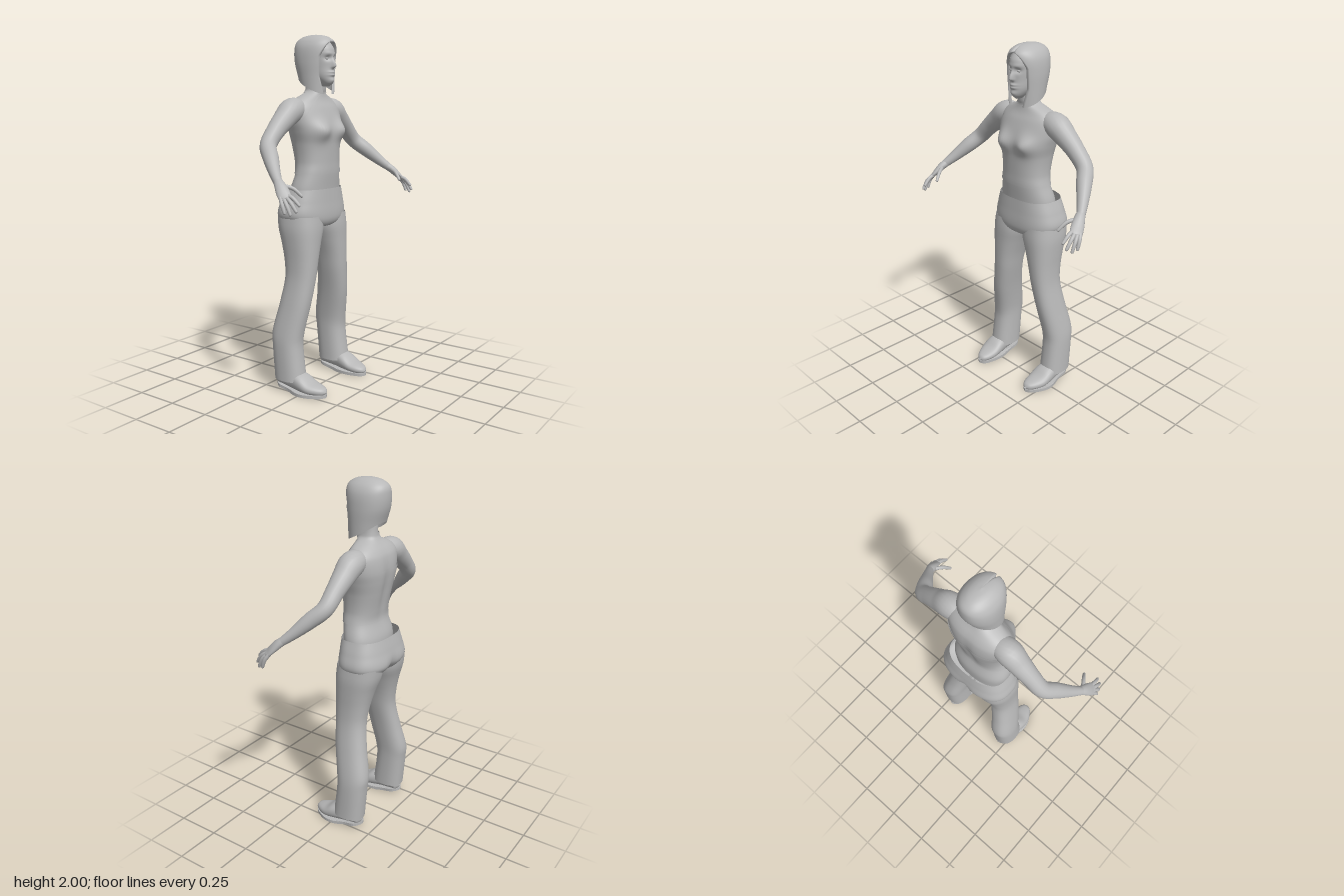
import * as THREE from 'three';
import { mergeVertices } from 'three/addons/utils/BufferGeometryUtils.js';

const V = (x, y, z) => new THREE.Vector3(x, y, z);
const clamp = THREE.MathUtils.clamp;

// Smooth surface over a grid; fn(u, v) gives a point, u may wrap around.
function surface(nu, nv, fn, wrap = true) {
  const pos = [], idx = [], cols = wrap ? nu : nu + 1;
  for (let j = 0; j <= nv; j++)
    for (let i = 0; i < cols; i++) pos.push(...fn(i / nu, j / nv).toArray());
  for (let j = 0; j < nv; j++)
    for (let i = 0; i < nu; i++) {
      const a = j * cols + i, b = j * cols + (i + 1) % cols;
      idx.push(a, a + cols, b, b, a + cols, b + cols);
    }
  const g = new THREE.BufferGeometry();
  g.setAttribute('position', new THREE.Float32BufferAttribute(pos, 3));
  g.setIndex(idx);
  g.computeVertexNormals();
  return g;
}

// Smoothly interpolated row of a table sorted by its first column.
function at(table, k) {
  const n = table.length, m = table[0].length;
  let i = 0;
  while (i < n - 2 && k > table[i + 1][0]) i++;
  const A = table[i], B = table[i + 1], h = B[0] - A[0], t = clamp((k - A[0]) / h, 0, 1);
  const slope = (q, c) => {
    const p = table[Math.max(q - 1, 0)], r = table[Math.min(q + 1, n - 1)];
    return (r[c] - p[c]) / (r[0] - p[0]);
  };
  const out = [k];
  for (let c = 1; c < m; c++)
    out.push(A[c] * (1 + 2 * t) * (1 - t) ** 2 + B[c] * t * t * (3 - 2 * t)
      + h * slope(i, c) * t * (1 - t) ** 2 - h * slope(i + 1, c) * t * t * (1 - t));
  return out;
}

// Point on a rounded section [key, min1, max1, max2, min2].
function section(r, a, p = 2, grow = 0) {
  const f = (s) => Math.sign(s) * Math.abs(s) ** (2 / p);
  return [(r[1] + r[2]) / 2 + ((r[2] - r[1]) / 2 + grow) * f(Math.cos(a)),
    (r[3] + r[4]) / 2 + ((r[3] - r[4]) / 2 + grow) * f(Math.sin(a))];
}
const sym = (rows) => rows.map(([y, w, f, b]) => [y, -w, w, f, b]);
const bump = (d, s) => Math.exp(-((d / s) ** 2));

// Tapered limb along a path of [x, y, z, radius, flatness].
function limb(points, sides = 14, steps = 24) {
  const curve = new THREE.CatmullRomCurve3(points.map((p) => V(p[0], p[1], p[2])));
  const table = points.map((p, i) => [i / (points.length - 1), p[3], p[4] ?? 1]);
  return surface(sides, steps, (u, v) => {
    const t = curve.getTangent(v), e1 = V(0.55, 0, -0.83).cross(t).normalize();
    const e2 = e1.clone().cross(t), [, r, flat] = at(table, v), a = u * Math.PI * 2;
    return curve.getPoint(v).addScaledVector(e1, r * Math.cos(a) * flat).addScaledVector(e2, r * Math.sin(a));
  });
}

function mirrored(geo) {
  const g = geo.clone().scale(-1, 1, 1), ix = g.index.array;
  for (let i = 0; i < ix.length; i += 3) [ix[i], ix[i + 1]] = [ix[i + 1], ix[i]];
  g.computeVertexNormals();
  return g;
}

// Section tables: height, half width, front z, back z
const TORSO = sym([[1.04, 0.17, 0.02, -0.18], [1.14, 0.178, 0.027, -0.18], [1.24, 0.152, 0.037, -0.155],
  [1.3, 0.142, 0.038, -0.16], [1.4, 0.15, 0.042, -0.18], [1.47, 0.168, 0.046, -0.193], [1.53, 0.183, 0.03, -0.198],
  [1.6, 0.185, 0.005, -0.188], [1.635, 0.16, -0.012, -0.17], [1.66, 0.115, -0.02, -0.15],
  [1.68, 0.066, -0.022, -0.135], [1.7, 0.048, -0.018, -0.125], [1.78, 0.045, -0.01, -0.12]]);
const HIPS = sym([[0.925, 0.03, -0.03, -0.12], [0.935, 0.1, 0.012, -0.18], [0.96, 0.19, 0.033, -0.22],
  [1.0, 0.226, 0.04, -0.245], [1.08, 0.21, 0.037, -0.232], [1.15, 0.186, 0.034, -0.217]]);
const LEG = [[0.07, 0.143, 0.29, 0, -0.186], [0.27, 0.142, 0.286, -0.024, -0.204], [0.34, 0.138, 0.279, -0.018, -0.21],
  [0.5, 0.115, 0.25, 0.01, -0.178], [0.65, 0.085, 0.225, 0.025, -0.157], [0.75, 0.064, 0.221, 0.03, -0.168],
  [0.85, 0.033, 0.225, 0.033, -0.192], [0.93, 0.004, 0.228, 0.035, -0.218], [1.0, 0, 0.222, 0.03, -0.228]];
const HEAD = sym([[1.715, 0.01, 0.02, -0.03], [1.735, 0.032, 0.041, -0.06], [1.77, 0.053, 0.045, -0.1],
  [1.82, 0.065, 0.043, -0.15], [1.87, 0.07, 0.044, -0.165], [1.92, 0.069, 0.042, -0.165], [1.965, 0.05, 0.012, -0.14]]);
const HAIR = sym([[1.67, 0.098, 0.028, -0.14], [1.77, 0.103, 0.035, -0.165], [1.85, 0.105, 0.045, -0.19],
  [1.92, 0.098, 0.05, -0.196], [1.96, 0.08, 0.042, -0.187], [1.985, 0.053, 0.01, -0.155],
  [1.996, 0.027, -0.03, -0.115], [2, 0, -0.07, -0.07]]);
// Shoe sections by distance from the toe tip
const SHOE = [[0, 0.198, 0.21, 0.032, 0.026], [0.008, 0.18, 0.228, 0.047, 0.016], [0.04, 0.161, 0.254, 0.06, 0.01],
  [0.09, 0.152, 0.276, 0.076, 0.01], [0.14, 0.153, 0.28, 0.108, 0.012], [0.2, 0.163, 0.272, 0.125, 0.018],
  [0.28, 0.166, 0.262, 0.125, 0.027], [0.318, 0.176, 0.25, 0.105, 0.032], [0.325, 0.208, 0.214, 0.07, 0.05]];

// Torso skin with bust; grow lifts clothing off the skin
function torsoPoint(a, y, grow = 0) {
  const [x, z] = section(at(TORSO, y), a, 2.3, grow);
  const bust = z > -0.06 ? 0.03 * bump(Math.abs(x) - 0.085, 0.05) * bump(y - 1.475, 0.05) : 0;
  const spine = z < -0.1 ? 0.012 * bump(x, 0.03) * bump(y - 1.42, 0.15) : 0;
  return V(x, y, z + bust + spine);
}

// Face relief: nose, eye sockets, brow, lips and chin
function headPoint(a, y) {
  const [x, z] = section(at(HEAD, y), a, 2.1);
  if (z < -0.03) return V(x, y, z);
  const ax = Math.abs(x), nose = y > 1.825 ? bump(y - 1.825, 0.038) : bump(y - 1.825, 0.011);
  const relief = 0.027 * nose * bump(x, 0.011) - 0.011 * bump(ax - 0.028, 0.016) * bump(y - 1.868, 0.014)
    + 0.004 * bump(y - 1.892, 0.012) * bump(ax - 0.025, 0.03)
    + 0.008 * bump(x, 0.024) * (bump(y - 1.793, 0.007) + bump(y - 1.778, 0.007))
    + 0.005 * bump(x, 0.02) * bump(y - 1.748, 0.012);
  return V(x, y, z + relief);
}

function hairPoint(u, v) {
  const rim = u === 0 || u === 1 ? 0.87 : 1, s = Math.sin(v * Math.PI / 2);
  let a = Math.PI / 2 + u * Math.PI * 2;
  const low = 1.725 - 0.05 * Math.sin(a), y = low + (2 - low) * s;
  const open = 0.74 * Math.sqrt(clamp((1.957 - y) / 0.075, 0, 1)) - 0.3 * clamp((1.77 - y) / 0.09, 0, 1);
  a = Math.PI / 2 + open + u * (Math.PI * 2 - 2 * open);
  const [x, z] = section(at(HAIR, y), a, 2.15);
  return V(x * rim, y, -0.07 + (z + 0.07) * rim);
}

export function createModel() {
  const model = new THREE.Group();
  model.name = 'standingWoman';
  const grey = new THREE.MeshStandardMaterial({ color: 0xb8b8b8, side: THREE.DoubleSide });
  grey.name = 'plainGrey';
  const add = (name, geo) => {
    const m = new THREE.Mesh(geo, grey);
    m.name = name;
    model.add(m);
  };
  const pair = (name, geo) => { add('left' + name, geo); add('right' + name, mirrored(geo)); };
  const TAU = Math.PI * 2;

  // Head, hair and torso
  add('head', surface(96, 84, (u, v) => headPoint(u * TAU, 1.715 + 0.25 * v)));
  add('hair', surface(64, 48, hairPoint, false));
  add('torso', surface(56, 72, (u, v) => torsoPoint(u * TAU, 1.04 + 0.74 * v)));
  pair('Eye', mergeVertices(new THREE.SphereGeometry(1, 16, 10)).scale(0.012, 0.006, 0.006).translate(0.028, 1.866, 0.027));

  // Halter top with a bare upper back, and its collar
  add('halterTop', surface(72, 40, (u, v) => {
    const a = u * TAU, f = Math.sin(a) > 0 ? clamp((0.95 - Math.abs(Math.cos(a))) / 0.65, 0, 1) : 0;
    const top = 1.53 + 0.145 * f;
    return torsoPoint(a, 1.235 + (top - 1.235) * v, 0.005);
  }));
  add('collar', surface(32, 6, (u, v) => torsoPoint(u * TAU, 1.685 + 0.03 * v, 0.005)));

  // Trousers
  add('trouserHips', surface(56, 24, (u, v) => {
    const y = 0.925 + 0.225 * v, [x, z] = section(at(HIPS, y), u * TAU, 2.6);
    return V(x, y, z + (z < -0.12 ? 0.02 * bump(x, 0.035) * bump(y - 0.97, 0.06) : 0));
  }));
  pair('TrouserLeg', surface(36, 40, (u, v) => {
    const y = 0.07 + 0.93 * v, [x, z] = section(at(LEG, y), u * TAU, 2.35);
    return V(x, y, z);
  }));

  // Shoes and soles
  pair('Shoe', surface(28, 30, (u, v) => {
    const d = 0.325 * v ** 1.3, [x, y] = section(at(SHOE, d), u * TAU, 2.3);
    return V(x, y, 0.144 - d);
  }));
  const outline = new THREE.Shape(new THREE.SplineCurve([[0.205, 0.146], [0.24, 0.125], [0.277, 0.06], [0.285, 0],
    [0.265, -0.08], [0.26, -0.15], [0.212, -0.184], [0.168, -0.15], [0.162, -0.08], [0.15, 0], [0.153, 0.06],
    [0.173, 0.125], [0.205, 0.146]].map((p) => new THREE.Vector2(p[0], -p[1]))).getPoints(48));
  const sole = new THREE.ExtrudeGeometry(outline, { depth: 0.017, bevelEnabled: false }).rotateX(-Math.PI / 2);
  const sp = sole.attributes.position;
  for (let i = 0; i < sp.count; i++) sp.setY(i, sp.getY(i) + 0.18 * Math.max(0, -0.04 - sp.getZ(i)));
  sole.deleteAttribute('uv');
  sole.computeVertexNormals();
  pair('Sole', mergeVertices(sole));

  // Arms, palms and fingers
  pair('Arm', limb([[0.09, 1.585, -0.095, 0.05], [0.185, 1.585, -0.095, 0.069], [0.26, 1.535, -0.095, 0.06],
    [0.335, 1.475, -0.093, 0.05], [0.405, 1.405, -0.083, 0.045], [0.455, 1.345, -0.025, 0.042],
    [0.505, 1.28, 0.04, 0.031], [0.54, 1.235, 0.09, 0.023]], 20, 44));
  pair('Palm', limb([[0.533, 1.243, 0.08, 0.022], [0.548, 1.22, 0.11, 0.029, 0.75], [0.563, 1.19, 0.14, 0.034, 0.5],
    [0.574, 1.165, 0.163, 0.031, 0.4], [0.577, 1.156, 0.17, 0.004, 1]], 16, 20));
  const fingers = {
    Thumb: [[0.54, 1.22, 0.11], [0.508, 1.205, 0.16], [0.486, 1.165, 0.2]],
    IndexFinger: [[0.558, 1.18, 0.157], [0.558, 1.163, 0.2], [0.555, 1.128, 0.238]],
    MiddleFinger: [[0.568, 1.172, 0.158], [0.578, 1.145, 0.2], [0.577, 1.1, 0.234]],
    RingFinger: [[0.578, 1.168, 0.152], [0.592, 1.133, 0.186], [0.593, 1.084, 0.21]],
    LittleFinger: [[0.585, 1.168, 0.142], [0.599, 1.135, 0.163], [0.601, 1.09, 0.18]],
  };
  for (const [name, [a, b, c]] of Object.entries(fingers)) {
    const tip = c.map((n, i) => n + (n - b[i]) * 0.08);
    pair(name, limb([[...a, 0.011], [...b, 0.0105], [...c, 0.0075], [...tip, 0.001]], 10, 14));
  }
  return model;
}
